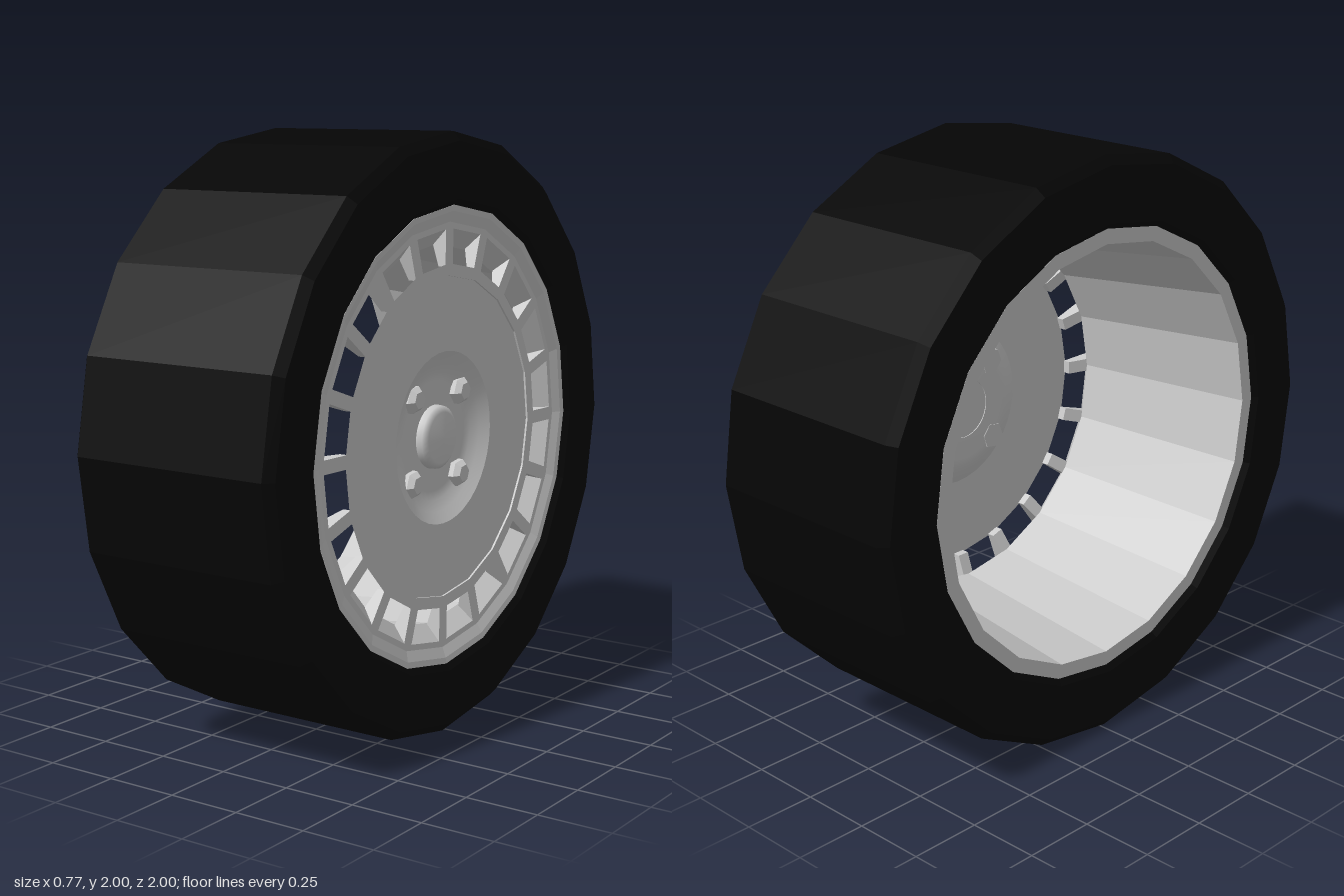
import * as THREE from 'three';

const SIDES = 20;
const STEP = (Math.PI * 2) / SIDES;
const START = -Math.PI / 180; // slight roll of the wheel

const rubber = new THREE.MeshStandardMaterial({ color: 0x050505, flatShading: true });
const metal = new THREE.MeshStandardMaterial({ color: 0xcccccc, flatShading: true });
const sheetMetal = new THREE.MeshStandardMaterial({ color: 0xcccccc, flatShading: true, side: THREE.DoubleSide });
const smoothMetal = new THREE.MeshStandardMaterial({ color: 0xcccccc, side: THREE.DoubleSide });

// Everything is turned about y (the axle); the outer side is +y.
// Profiles are [radius, height], counter-clockwise.
function turned(name, profile, material, sides = SIDES) {
  const points = profile.map(([r, h]) => new THREE.Vector2(r, h));
  const mesh = new THREE.Mesh(new THREE.LatheGeometry(points, sides, START), material);
  mesh.name = name;
  return mesh;
}

export function createModel() {
  const model = new THREE.Group();
  model.name = 'wheel';
  const wheel = new THREE.Group();
  wheel.name = 'wheelAssembly';
  wheel.rotation.z = -Math.PI / 2;
  wheel.position.y = 1;
  model.add(wheel);

  // Tyre with small shoulder chamfers
  wheel.add(turned('tyre', [
    [0.76, -0.362], [0.785, -0.385], [0.97, -0.385], [1, -0.357],
    [1, 0.357], [0.97, 0.385], [0.785, 0.385], [0.76, 0.362], [0.76, -0.362],
  ], rubber));

  // Rim: back lip, outer wall, shallow front lip, window walls and tapered barrel
  wheel.add(turned('rim', [
    [0.715, -0.367], [0.765, -0.367], [0.765, 0.368], [0.745, 0.365],
    [0.71, 0.352], [0.69, 0.352], [0.635, 0.3], [0.715, -0.367],
  ], metal));

  // Thin face disc, very slightly sunk inside its edge
  wheel.add(turned('faceDisc', [
    [0.575, 0.352], [0.535, 0.352], [0.535, 0.345], [0.3, 0.345],
  ], sheetMetal));

  // Bars between the windows
  const barShape = new THREE.Shape([
    [0.565, 0.325], [0.64, 0.301], [0.695, 0.352], [0.565, 0.352],
  ].map(([r, h]) => new THREE.Vector2(r, h)));
  const barGeometry = new THREE.ExtrudeGeometry(barShape, { depth: 0.045, bevelEnabled: false });
  barGeometry.translate(0, 0, -0.0225);
  const bars = new THREE.Group();
  bars.name = 'windowBars';
  for (let i = 0; i < SIDES; i++) {
    const bar = new THREE.Mesh(barGeometry, metal);
    bar.name = 'windowBar';
    bar.rotation.y = START + i * STEP;
    bars.add(bar);
  }
  wheel.add(bars);

  // Hub: flat collar, round dish and centre cap
  wheel.add(turned('hubCollar', [[0.31, 0.346], [0.288, 0.346]], smoothMetal, 40));
  wheel.add(turned('hubDish', [
    [0.288, 0.346], [0.25, 0.325], [0.215, 0.309], [0.185, 0.303], [0, 0.303],
  ], smoothMetal, 40));
  wheel.add(turned('centreCap', [
    [0.107, 0.3], [0.105, 0.325], [0.085, 0.339], [0, 0.343],
  ], smoothMetal, 32));

  // Four hexagonal bolts
  const bolts = new THREE.Group();
  bolts.name = 'wheelBolts';
  for (let i = 0; i < 4; i++) {
    const bolt = new THREE.Group();
    bolt.name = 'wheelBolt';
    const base = new THREE.Mesh(new THREE.CylinderGeometry(0.047, 0.047, 0.02, 6), metal);
    base.name = 'boltBase';
    const head = new THREE.Mesh(new THREE.CylinderGeometry(0.03, 0.047, 0.018, 6), metal);
    head.name = 'boltHead';
    head.position.y = 0.019;
    bolt.add(base, head);
    const a = START + Math.PI / 4 + (i * Math.PI) / 2;
    bolt.position.set(0.198 * Math.sin(a), 0.311, 0.198 * Math.cos(a));
    bolt.rotation.y = 0.15;
    bolts.add(bolt);
  }
  wheel.add(bolts);

  return model;
}
